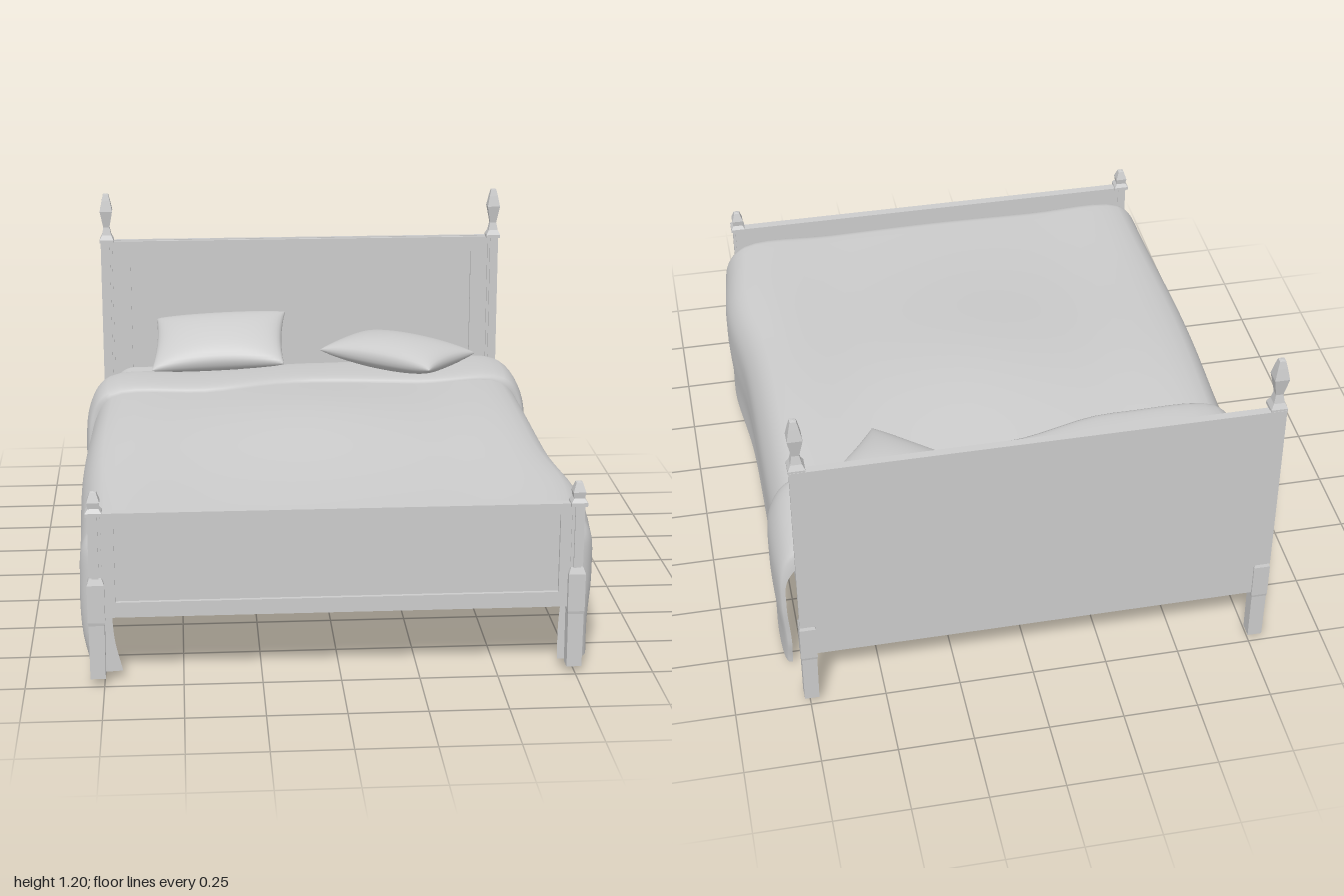
import * as THREE from 'three';
import { mergeGeometries, mergeVertices } from 'three/addons/utils/BufferGeometryUtils.js';
import { RoundedBoxGeometry } from 'three/addons/geometries/RoundedBoxGeometry.js';

const wood = new THREE.MeshStandardMaterial({ color: 0xcccccc, flatShading: true });
const cloth = new THREE.MeshStandardMaterial({ color: 0xcccccc, side: THREE.DoubleSide });
const XL = -0.77, XR = 0.745, XM = (XL + XR) / 2; // post centres
const ZH = -0.972, ZF = 0.972;

function add(parent, name, geometry, material = wood) {
  const mesh = new THREE.Mesh(geometry, material);
  mesh.name = name;
  parent.add(mesh);
  return mesh;
}

// Box given by its limits
function box(parent, name, x0, x1, y0, y1, z0, z1) {
  const mesh = add(parent, name, new THREE.BoxGeometry(x1 - x0, y1 - y0, z1 - z0));
  mesh.position.set((x0 + x1) / 2, (y0 + y1) / 2, (z0 + z1) / 2);
  return mesh;
}

// Smooth grid surface from a function of u (along x) and v (along z)
function surface(nu, nv, fn) {
  const pos = [], index = [];
  for (let j = 0; j <= nv; j++) for (let i = 0; i <= nu; i++) pos.push(...fn(i / nu, j / nv));
  for (let j = 0; j < nv; j++) for (let i = 0; i < nu; i++) {
    const a = j * (nu + 1) + i, b = a + 1, c = a + nu + 1, d = c + 1;
    index.push(a, c, b, b, c, d);
  }
  const g = new THREE.BufferGeometry();
  g.setAttribute('position', new THREE.Float32BufferAttribute(pos, 3));
  g.setIndex(index);
  g.computeVertexNormals();
  return g;
}

// Square turned piece: profile of [half width, height]
function squareTurned(points) {
  const g = new THREE.LatheGeometry(points.map(([r, y]) => new THREE.Vector2(r * Math.SQRT2, y)), 4);
  return g.rotateY(Math.PI / 4);
}

// Square shaft with notched corners
function shaft(height) {
  const a = 0.02, b = 0.011, s = new THREE.Shape();
  [[a, -b], [a, b], [b, b], [b, a], [-b, a], [-b, b], [-a, b], [-a, -b], [-b, -b], [-b, -a], [b, -a], [b, -b]]
    .forEach(([x, y], i) => (i ? s.lineTo(x, y) : s.moveTo(x, y)));
  return new THREE.ExtrudeGeometry(s, { depth: height, bevelEnabled: false }).rotateX(-Math.PI / 2);
}

function post(name, x, z, top, finial) {
  const g = new THREE.Group();
  g.name = name;
  add(g, 'leg', squareTurned([[0, 0.03], [0.024, 0.03], [0.025, 0.21], [0.027, 0.22], [0.027, 0.345], [0.02, 0.365], [0, 0.365]]));
  add(g, 'shaft', shaft(top - 0.36)).position.y = 0.36;
  add(g, 'finial', squareTurned(finial.map(([r, y]) => [r, top + y])));
  g.position.set(x, 0, z);
  return g;
}

// Rectangular frame with an opening
function frame(parent, name, x0, x1, y0, y1, hx0, hx1, hy0, hy1, z, depth) {
  const rect = (P, a, b, c, d) => new P().moveTo(a, c).lineTo(b, c).lineTo(b, d).lineTo(a, d).closePath();
  const s = new THREE.Shape([[x0, y0], [x1, y0], [x1, y1], [x0, y1]].map(p => new THREE.Vector2(...p)));
  const h = new THREE.Path([[hx0, hy0], [hx0, hy1], [hx1, hy1], [hx1, hy0]].map(p => new THREE.Vector2(...p)));
  s.holes.push(h);
  add(parent, name, new THREE.ExtrudeGeometry(s, { depth, bevelEnabled: false })).position.z = z;
}

const bump = (z, c, w) => Math.exp(-(((z - c) / w) ** 2));

// Duvet cross-section at z, from the right-hand hem over the top to the other hem
function section(u, z) {
  const l = 0.82 + 0.022 * bump(z, 0.15, 0.5), r = 0.80 + 0.035 * bump(z, 0.62, 0.25);
  const hemL = 0.035 - 0.03 * bump(z, -0.45, 0.35), hemR = 0.03 + 0.02 * bump(z, 0.5, 0.4);
  const edge = 0.53 + 0.02 * bump(z, -0.2, 0.6), top = 0.54 + 0.058 * bump(z, -0.05, 0.5);
  const pts = [
    [-l + 0.03, hemL], [-l + 0.005, 0.15], [-l, 0.32], [-l + 0.015, 0.46], [-l + 0.08, edge], [-0.4, (edge + top) / 2],
    [0, top], [0.4, (edge + top) / 2], [r - 0.08, edge], [r - 0.012, 0.46], [r, 0.32], [r - 0.01, 0.15], [r - 0.01, hemR],
  ].map(p => new THREE.Vector3(p[0], p[1], 0));
  return new THREE.CatmullRomCurve3(pts).getPoint(u);
}

// Interpolate a list of values spread evenly over u
function track(values, u) {
  const f = Math.min(u, 0.9999) * (values.length - 1), i = Math.floor(f);
  return THREE.MathUtils.lerp(values[i], values[i + 1], THREE.MathUtils.smoothstep(f - i, 0, 1));
}
const headEdge = u => track([-0.62, -0.65, -0.66, -0.66, -0.67, -0.68, -0.78, -0.83, -0.85, -0.85, -0.85, -0.84, -0.82], u);
const foldEdge = u => track([-0.40, -0.40, -0.40, -0.40, -0.39, -0.385, -0.47, -0.47, -0.50, -0.51, -0.515, -0.515, -0.54], u);

function duvetPoint(u, v) {
  const k = 0.8, R = 0.06;
  let z = THREE.MathUtils.lerp(headEdge(u) + 0.03, 0.89, Math.min(v / k, 1)), inset = 0;
  if (v > k) {
    const a = Math.min((v - k) / (0.95 - k), 1) * Math.PI / 2;
    z = 0.89 + R * Math.sin(a);
    inset = R * (1 - Math.cos(a));
  }
  const p = section(u, Math.min(z, 0.92));
  const tucked = v > 0.96;
  if (tucked) { inset = 0.1; z = 0.945; }
  const x = p.x - Math.sign(p.x) * Math.min(inset, Math.abs(p.x));
  let y = p.y - inset * THREE.MathUtils.smoothstep(p.y, 0.42, 0.53);
  if (tucked) y = Math.min(y, 0.32);
  return [x, y, z];
}

// Turned-back band lying over the duvet, rounded at both edges
function foldPoint(u, v) {
  const z = THREE.MathUtils.lerp(headEdge(u), foldEdge(u), 0.5 - 0.5 * Math.cos(Math.PI * v));
  const p = section(u, z), off = -0.004 + 0.03 * Math.sin(Math.PI * v) ** 0.5;
  const drop = v < 0.01 ? 0.025 : 0;
  return [p.x * (1 + off / 0.82), p.y + (off - drop) * THREE.MathUtils.smoothstep(p.y, 0.3, 0.52), z];
}

// Plump cushion with pulled-out corners
function pillowGeometry(w, d, t) {
  const side = s => (u, v) => {
    const a = Math.sin((u - 0.5) * Math.PI) * s, b = Math.sin((v - 0.5) * Math.PI);
    const h = Math.max(0, (1 - a * a) * (1 - b * b)) ** 0.42;
    return [w / 2 * a * (1 - 0.05 * (1 - b * b)), s * t / 2 * h, d / 2 * b * (1 - 0.07 * (1 - a * a))];
  };
  const g = mergeGeometries([surface(24, 20, side(1)), surface(24, 20, side(-1))]);
  g.deleteAttribute('normal');
  const m = mergeVertices(g, 1e-5);
  m.computeVertexNormals();
  return m;
}

export function createModel() {
  const bed = new THREE.Group();
  bed.name = 'bed';

  // Posts
  const tall = [[0, 0], [0.027, 0], [0.027, 0.012], [0.018, 0.03], [0.012, 0.06], [0.024, 0.125], [0.016, 0.165], [0.01, 0.19], [0, 0.192]];
  const short = [[0, 0], [0.026, 0], [0.026, 0.012], [0.017, 0.025], [0.02, 0.045], [0.01, 0.075], [0, 0.078]];
  for (const [side, x] of [['right', XL], ['left', XR]]) {
    bed.add(post(side + 'HeadPost', x, ZH, 1.01, tall));
    bed.add(post(side + 'FootPost', x, ZF, 0.57, short));
  }

  // Headboard
  box(bed, 'headboardPanel', XL - 0.025, XR + 0.025, 0.36, 1.015, -1, -0.985);
  box(bed, 'headboardLowerRail', XL, XR, 0.23, 0.37, -0.992, -0.965);
  frame(bed, 'headboardFrame', XL, XR, 0.36, 1.012, -0.68, 0.66, 0.42, 0.955, -0.986, 0.016);

  // Footboard
  box(bed, 'footboardPanel', XL, XR, 0.23, 0.57, 0.955, 0.967);
  frame(bed, 'footboardFrame', XL, XR, 0.23, 0.572, -0.71, 0.69, 0.28, 0.54, 0.966, 0.014);
  box(bed, 'footboardCap', XL, XR, 0.565, 0.577, 0.953, 0.984);

  // Side rails and base
  box(bed, 'rightRail', XL, XL + 0.025, 0.23, 0.44, ZH, ZF);
  box(bed, 'leftRail', XR - 0.025, XR, 0.23, 0.44, ZH, ZF);
  box(bed, 'base', XL + 0.02, XR - 0.02, 0.265, 0.38, -0.97, 0.957);

  // Mattress
  const mattress = add(bed, 'mattress', new RoundedBoxGeometry(1.48, 0.2, 1.89, 5, 0.08),
    new THREE.MeshStandardMaterial({ color: 0xcccccc }));
  mattress.position.set(XM, 0.42, -0.035);

  // Bedding
  add(bed, 'duvet', surface(72, 60, duvetPoint), cloth);
  add(bed, 'duvetFold', surface(72, 16, foldPoint), cloth);

  const pillow1 = add(bed, 'rightPillow', pillowGeometry(0.51, 0.34, 0.14), cloth);
  pillow1.position.set(-0.34, 0.645, -0.815);
  pillow1.rotation.set(0.38, -0.06, 0.09);
  const pillow2 = add(bed, 'leftPillow', pillowGeometry(0.505, 0.315, 0.13), cloth);
  pillow2.position.set(0.34, 0.632, -0.665);
  pillow2.rotation.y = -0.7;

  return bed;
}
